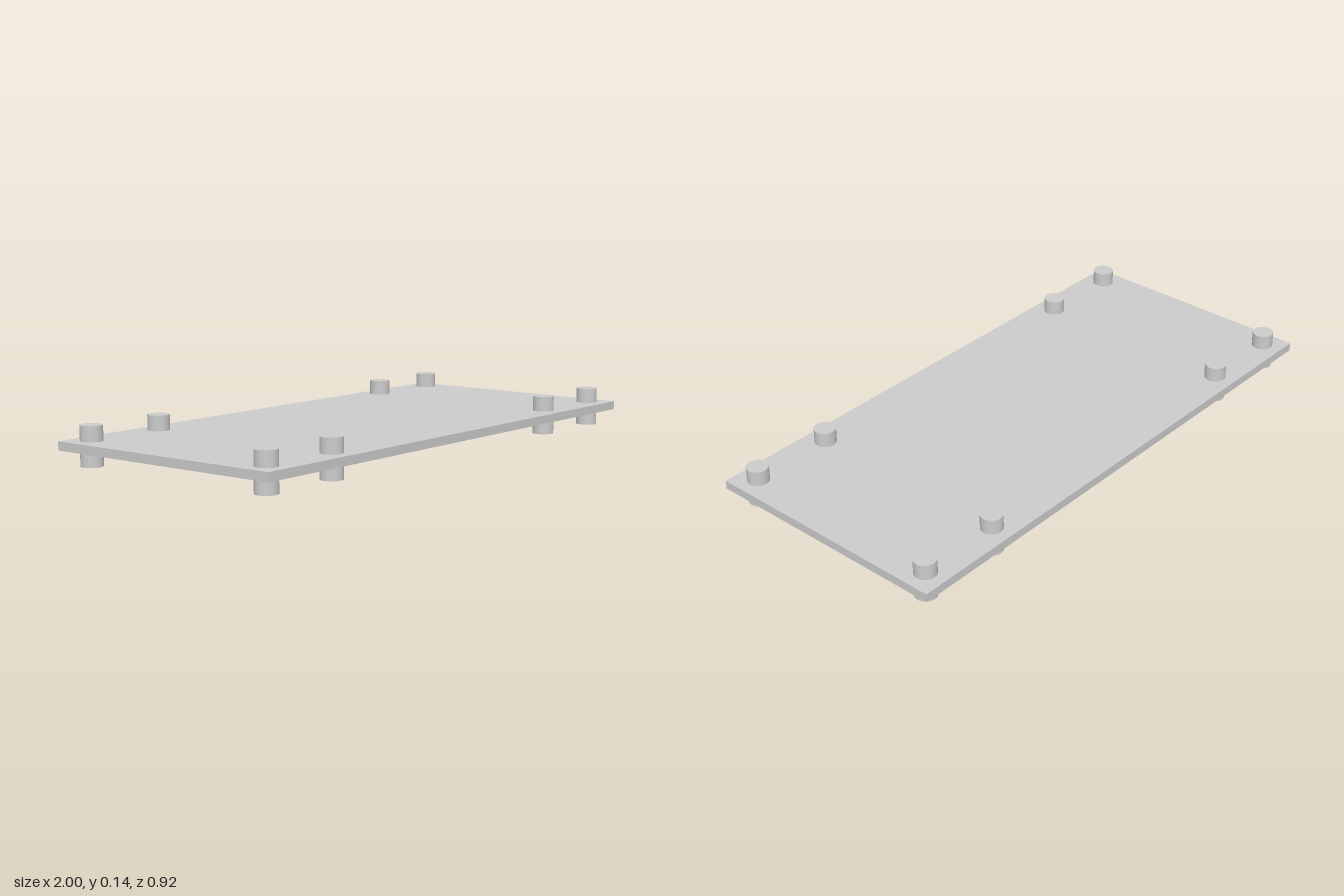
import * as THREE from 'three';

export function createModel() {
  const model = new THREE.Group();
  model.name = 'peggedPlate';
  const material = new THREE.MeshStandardMaterial({ color: 0xcccccc });

  const u = 1 / 13; // plate is 26 x 12 units
  const pegHeight = 1.8 * u;
  const midY = pegHeight / 2;

  // flat rectangular plate
  const plate = new THREE.Mesh(new THREE.BoxGeometry(26 * u, 0.4 * u, 12 * u), material);
  plate.name = 'plate';
  plate.position.y = midY;
  model.add(plate);

  // studs above and feet below, in two rows of four
  const pegLength = 0.7 * u;
  const pegGeometry = new THREE.CylinderGeometry(0.5 * u, 0.5 * u, pegLength, 32);
  for (const x of [-12, -8, 8, 12]) {
    for (const z of [-5, 5]) {
      for (const [name, y] of [['foot', pegLength / 2], ['stud', pegHeight - pegLength / 2]]) {
        const peg = new THREE.Mesh(pegGeometry, material);
        peg.name = name;
        peg.position.set(x * u, y, z * u);
        model.add(peg);
      }
    }
  }
  return model;
}
